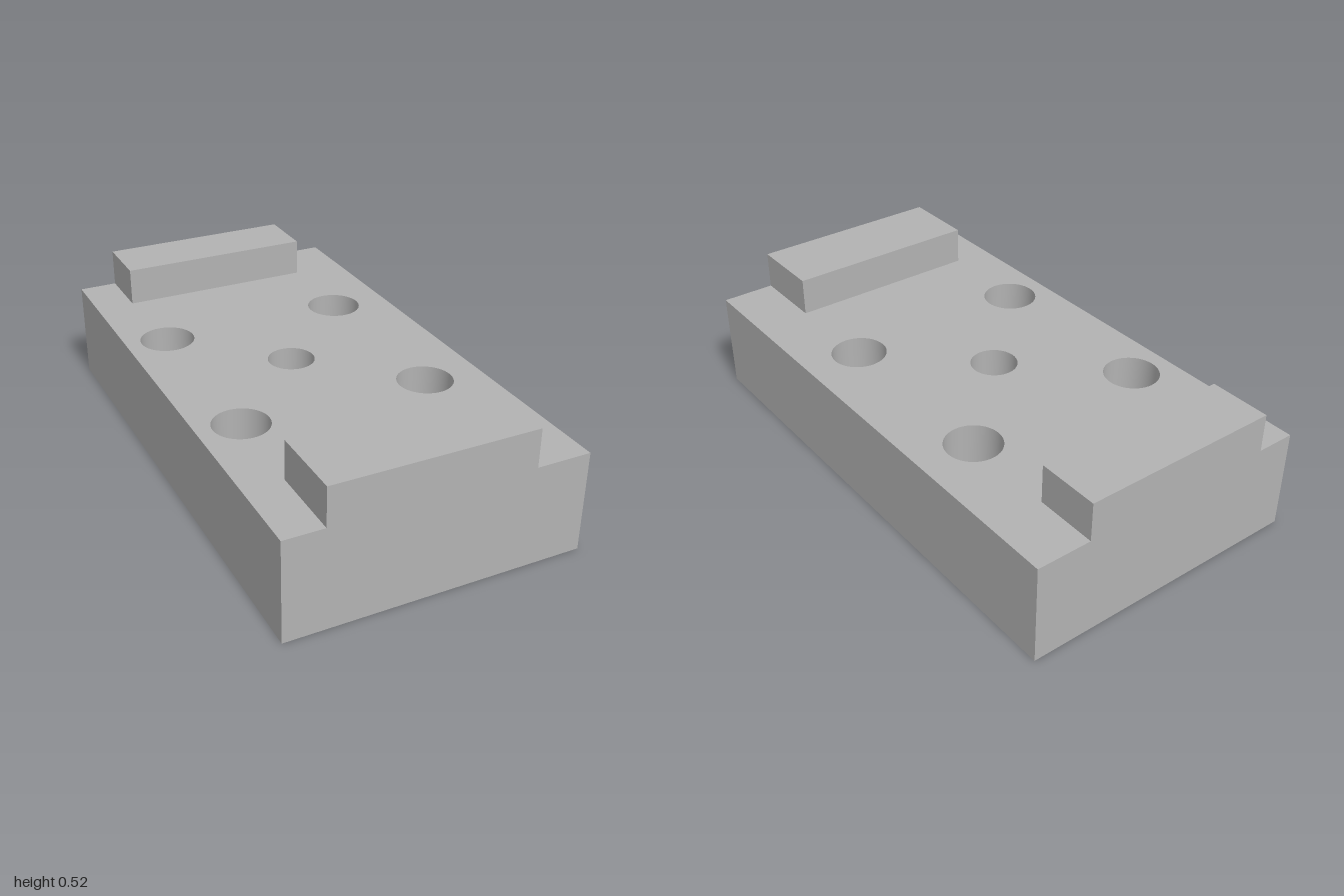
import * as THREE from 'three';
import { toCreasedNormals } from 'three/addons/utils/BufferGeometryUtils.js';

const W = 1.106, L = 2, H = 0.38;
const SEG = 48;
const CENTRE = [-0.03, -0.03];
const BOLTS = [[-0.39, -0.39], [0.333, -0.39], [-0.39, 0.333], [0.333, 0.333]];
const BOLT_R = 0.06, HEAD_R = 0.104, HEAD_FLOOR = 0.2;
const BORE_R = 0.088, HEX_R = 0.168, HEX_TOP = 0.16;

// Regular outline in the x/z plane; s flips z to suit the way the face is turned
function ring(Type, [x, z], r, n, s) {
  const pts = [];
  for (let i = 0; i < n; i++) {
    const a = (i / n) * Math.PI * 2;
    pts.push(new THREE.Vector2(x + r * Math.cos(a), s * (z + r * Math.sin(a))));
  }
  return new Type(pts);
}

// Horizontal face pointing up (s = -1) or down (s = 1)
function flatFace(shape, y, s) {
  return new THREE.ShapeGeometry(shape).rotateX(s * Math.PI / 2).translate(0, y, 0);
}

// Rectangular slab outline
function slab() {
  return new THREE.Shape([[-1, -1], [1, -1], [1, 1], [-1, 1]]
    .map(([x, y]) => new THREE.Vector2(x * W / 2, y * L / 2)));
}

// Hole walls turned from an [radius, height] profile
function holeWall(profile, [x, z], n) {
  const pts = profile.map(([r, y]) => new THREE.Vector2(r, y));
  const geo = new THREE.LatheGeometry(pts, n).rotateY(Math.PI / 2);
  return toCreasedNormals(geo, 0.5).translate(x, 0, z);
}

export function createModel() {
  const group = new THREE.Group();
  const grey = new THREE.MeshStandardMaterial({ color: 0xb2b2b2, side: THREE.DoubleSide });
  grey.name = 'plain grey';
  const add = (name, geo) => {
    const mesh = new THREE.Mesh(geo, grey);
    mesh.name = name;
    group.add(mesh);
    return mesh;
  };

  // Block: top and bottom faces with holes, and four side walls
  const top = slab(), bottom = slab();
  for (const b of BOLTS) {
    top.holes.push(ring(THREE.Path, b, HEAD_R, SEG, -1));
    bottom.holes.push(ring(THREE.Path, b, BOLT_R, SEG, 1));
  }
  top.holes.push(ring(THREE.Path, CENTRE, BORE_R, SEG, -1));
  bottom.holes.push(ring(THREE.Path, CENTRE, HEX_R, 6, 1));
  add('blockTop', flatFace(top, H, -1));
  add('blockBottom', flatFace(bottom, 0, 1));
  const walls = new THREE.CylinderGeometry(Math.SQRT1_2, Math.SQRT1_2, H, 4, 1, true)
    .rotateY(Math.PI / 4).scale(W, 1, L).translate(0, H / 2, 0);
  add('blockSides', toCreasedNormals(walls, 0.5));

  // Counterbored bolt holes
  for (const b of BOLTS) {
    add('boltHole', holeWall(
      [[BOLT_R, 0], [BOLT_R, HEAD_FLOOR], [HEAD_R, HEAD_FLOOR], [HEAD_R, H]], b, SEG));
  }

  // Central bore with a hexagonal nut pocket underneath
  add('centreBore', holeWall([[BORE_R, HEX_TOP], [BORE_R, H]], CENTRE, SEG));
  add('nutPocket', holeWall([[HEX_R, 0], [HEX_R, HEX_TOP]], CENTRE, 6));
  const ceiling = ring(THREE.Shape, CENTRE, HEX_R, 6, 1);
  ceiling.holes.push(ring(THREE.Path, CENTRE, BORE_R, SEG, 1));
  add('nutPocketCeiling', flatFace(ceiling, HEX_TOP, 1));

  // Raised end bars
  for (const [name, z0, z1] of [['backBar', -1, -0.767], ['frontBar', 0.712, 1]]) {
    add(name, new THREE.BoxGeometry(0.752, 0.145, z1 - z0))
      .position.set(-0.029, H + 0.0725, (z0 + z1) / 2);
  }
  return group;
}
